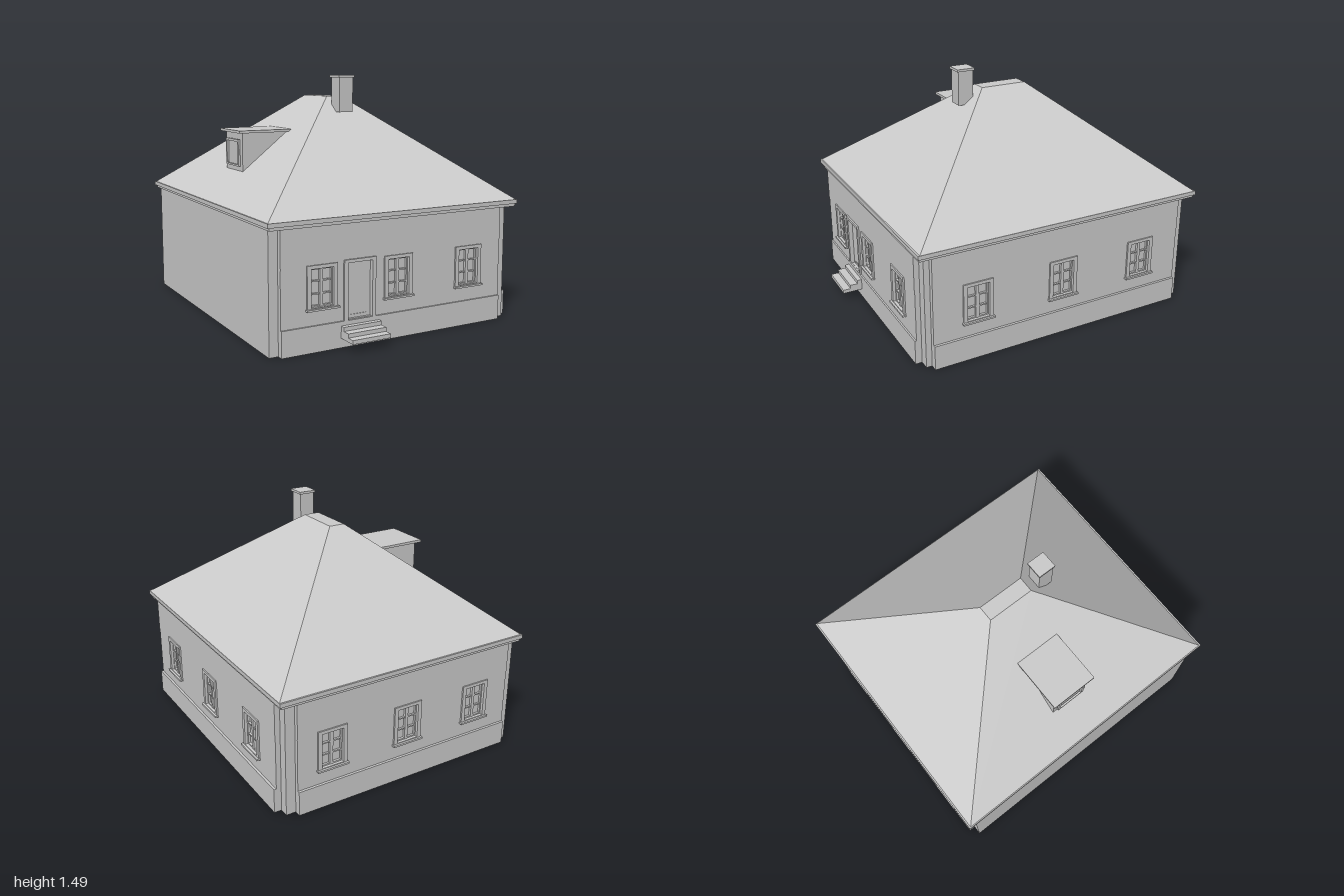
import * as THREE from 'three';

const material = new THREE.MeshStandardMaterial({ color: 0xcccccc, flatShading: true });

function add(parent, name, geometry) {
  const mesh = new THREE.Mesh(geometry, material);
  mesh.name = name;
  parent.add(mesh);
  return mesh;
}

// Box given by its limits on each axis
function box(parent, name, x0, x1, y0, y1, z0, z1) {
  const geometry = new THREE.BoxGeometry(x1 - x0, y1 - y0, z1 - z0);
  geometry.translate((x0 + x1) / 2, (y0 + y1) / 2, (z0 + z1) / 2);
  return add(parent, name, geometry);
}

function rectPath(Type, x0, x1, y0, y1) {
  const path = new Type();
  path.moveTo(x0, y0);
  path.lineTo(x1, y0);
  path.lineTo(x1, y1);
  path.lineTo(x0, y1);
  path.closePath();
  return path;
}

// Upright panel with rectangular openings [x0, x1, y0, y1]
function panel(parent, name, outline, openings, z0, z1) {
  const shape = rectPath(THREE.Shape, ...outline);
  openings.forEach((o) => shape.holes.push(rectPath(THREE.Path, ...o)));
  const geometry = new THREE.ExtrudeGeometry(shape, { depth: z1 - z0, bevelEnabled: false });
  geometry.translate(0, 0, z0);
  return add(parent, name, geometry);
}

// Six-pane window: o is the opening, zIn the inner face, zOut the wall face
function addWindow(parent, o, zIn, zOut, trim, sill) {
  const [x0, x1, y0, y1] = o;
  const group = new THREE.Group();
  group.name = 'window';
  parent.add(group);
  const glass = zOut - 0.022;
  box(group, 'panes', x0, x1, y0, y1, zIn, glass);
  panel(group, 'frame', [x0 - trim, x1 + trim, y0 - trim * 0.6, y1 + trim * 0.8], [o], zOut - 0.002, zOut + 0.01);
  panel(group, 'sash', o, [[x0 + 0.008, x1 - 0.008, y0 + 0.008, y1 - 0.008]], glass, zOut - 0.008);
  const cx = (x0 + x1) / 2;
  box(group, 'mullion', cx - 0.01, cx + 0.01, y0, y1, glass, zOut - 0.006);
  for (let i = 1; i < 3; i++) {
    const y = y0 + ((y1 - y0) * i) / 3;
    box(group, 'glazingBar', x0, x1, y - 0.004, y + 0.004, glass, zOut - 0.01);
  }
  if (sill) box(group, 'sill', x0 - 0.031, x1 + 0.031, y0 - 0.016, y0 - 0.005, zOut, zOut + 0.023);
}

// One facade in its own frame: x along the wall, +z outward
function facade(parent, name, angle, u0, u1, zIn, zOut, zPlinth, windows, doorOpening) {
  const group = new THREE.Group();
  group.name = name;
  group.rotation.y = angle;
  parent.add(group);
  const openings = windows.map((u) => [u - 0.07, u + 0.07, 0.25, 0.465]);
  const holes = doorOpening ? [...openings, doorOpening] : openings;
  box(group, 'plinth', u0, u1, 0, 0.15, zIn, zPlinth);
  panel(group, 'lowerWall', [u0, u1, 0.15, 0.475], holes, zIn, zOut);
  box(group, 'upperWall', u0, u1, 0.475, 0.7, zIn, zOut + 0.002);
  openings.forEach((o) => addWindow(group, o, zIn, zOut, 0.025, true));
  return group;
}

export function createModel() {
  const house = new THREE.Group();
  house.name = 'house';

  // Walls
  const door = [-0.35, -0.193, 0.153, 0.472];
  const front = facade(house, 'frontFacade', 0, -0.76, 0.72, 0.8, 0.865, 0.875, [-0.51, -0.017, 0.48], door);
  facade(house, 'sideFacade', Math.PI / 2, -0.8, 0.89, 0.72, 0.81, 0.825, [-0.52, 0.045, 0.605]);
  facade(house, 'backFacade', Math.PI, -0.72, 0.76, 0.89, 0.97, 0.985, [-0.5, 0.01, 0.51]);
  box(house, 'blankWall', -0.815, -0.76, 0, 0.7, -0.945, 0.835);

  // Recessed corner posts
  box(house, 'cornerPost', 0.72, 0.78, 0, 0.7, 0.8, 0.835);
  box(house, 'cornerPost', 0.72, 0.78, 0, 0.7, -0.945, -0.89);

  // Door with surround
  box(front, 'door', door[0], door[1], door[2], door[3], 0.8, 0.848);
  box(front, 'doorRail', -0.325, -0.22, 0.168, 0.174, 0.846, 0.852);
  box(front, 'doorJamb', -0.375, -0.35, 0.15, 0.475, 0.86, 0.875);
  box(front, 'doorJamb', -0.193, -0.17, 0.15, 0.475, 0.86, 0.875);
  box(front, 'doorLintel', -0.375, -0.17, 0.475, 0.493, 0.86, 0.878);

  // Entrance steps
  for (let i = 0; i < 3; i++) {
    const y = 0.055 + i * 0.0233;
    box(house, 'step', -0.395, -0.15, y, y + 0.0233, 0.86, 1 - i * 0.048);
  }

  // Stepped cornice, also closing the room from above
  box(house, 'lowerCornice', -0.827, 0.825, 0.695, 0.712, -0.99, 0.878);
  box(house, 'upperCornice', -0.84, 0.835, 0.712, 0.737, -1, 0.885);

  // Hipped roof with a small flat top: a box whose upper corners move inward
  const roof = new THREE.BoxGeometry(1, 1, 1);
  const p = roof.attributes.position;
  for (let i = 0; i < p.count; i++) {
    const top = p.getY(i) > 0;
    const x = Math.sign(p.getX(i)) * (top ? 0.05 : 0.833);
    const z = p.getZ(i) > 0 ? (top ? 0.09 : 0.875) : (top ? -0.21 : -0.99);
    p.setXYZ(i, x, top ? 1.355 : 0.737, z);
  }
  roof.computeVertexNormals();
  add(house, 'roof', roof);

  // Chimney
  box(house, 'chimney', -0.05, 0.045, 1.26, 1.472, 0.15, 0.25);
  box(house, 'chimneyCap', -0.058, 0.053, 1.472, 1.487, 0.142, 0.258);

  // Dormer: wedge body cut along the roof slope, flat lid and window
  const dormer = new THREE.Group();
  dormer.name = 'dormer';
  house.add(dormer);
  const side = new THREE.Shape();
  side.moveTo(-0.62, 0.89);
  side.lineTo(-0.31, 1.135);
  side.lineTo(-0.31, 1.14);
  side.lineTo(-0.62, 1.14);
  side.closePath();
  const body = new THREE.ExtrudeGeometry(side, { depth: 0.25, bevelEnabled: false });
  body.translate(0, 0, -0.185);
  add(dormer, 'dormerBody', body);
  box(dormer, 'dormerLid', -0.65, -0.3, 1.14, 1.156, -0.21, 0.09);
  const dormerFront = new THREE.Group();
  dormerFront.name = 'dormerFront';
  dormerFront.rotation.y = -Math.PI / 2;
  dormer.add(dormerFront);
  addWindow(dormerFront, [-0.14, 0.02, 0.945, 1.085], 0.6, 0.626, 0.018, false);

  return house;
}
